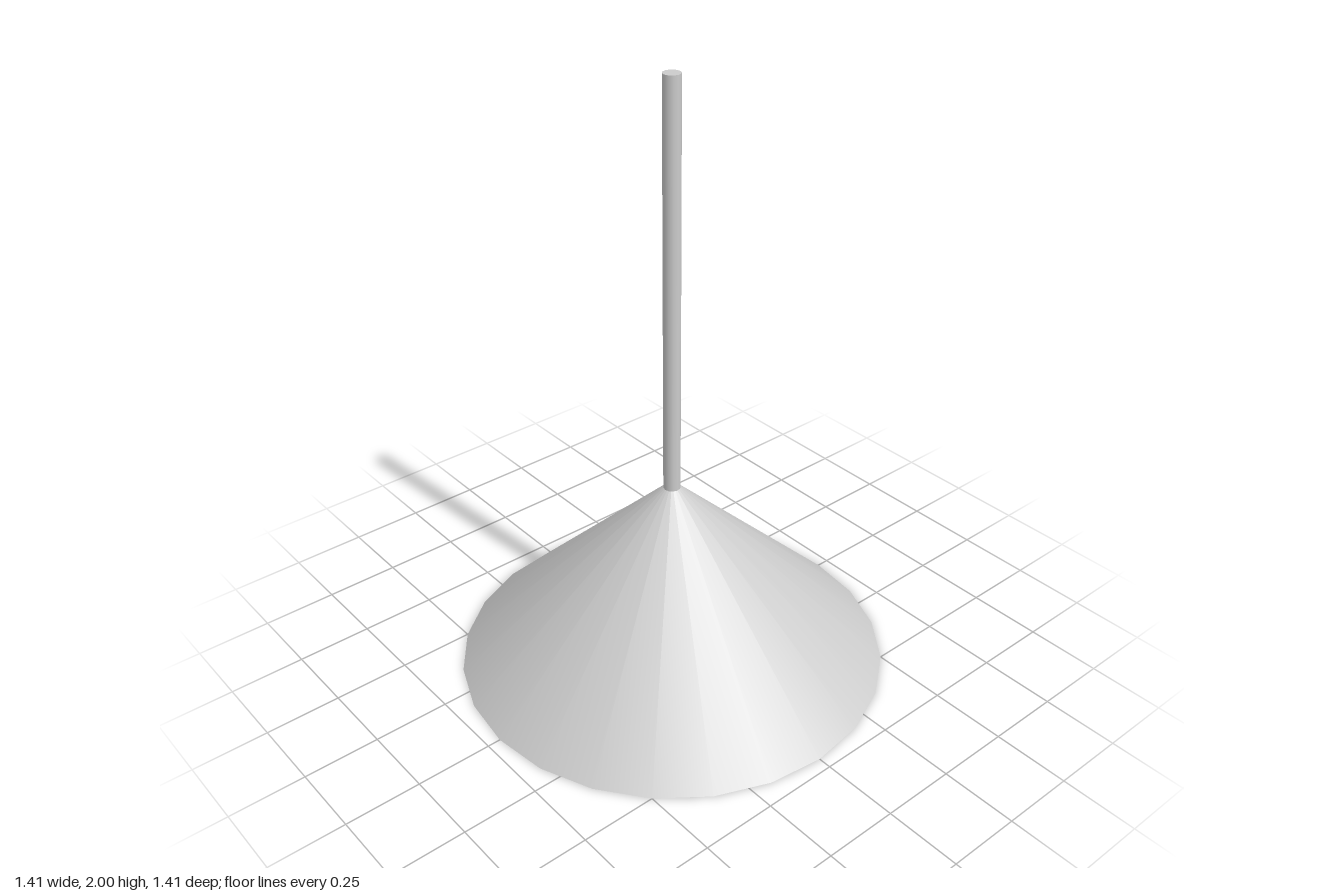
import * as THREE from 'three';
import { toCreasedNormals } from 'three/addons/utils/BufferGeometryUtils.js';

export function createModel() {
  const lamp = new THREE.Group();
  lamp.name = 'pendantLamp';
  const grey = new THREE.MeshStandardMaterial({ color: 0xcccccc });
  const yellow = new THREE.MeshStandardMaterial({ color: 0xdddd55 });

  const add = (name, geometry, material, y = 0) => {
    const mesh = new THREE.Mesh(geometry, material);
    mesh.name = name;
    mesh.position.y = y;
    lamp.add(mesh);
  };

  // Conical shade: inner wall, flat rim and outer wall in one profile
  const profile = [[0.005, 0.62], [0.655, 0], [0.707, 0], [0.005, 0.67]]
    .map(([r, y]) => new THREE.Vector2(r, y));
  add('shade', toCreasedNormals(new THREE.LatheGeometry(profile, 24), 0.6), grey);

  // Hanging rod, rising from the tip of the shade
  add('rod', new THREE.CylinderGeometry(0.028, 0.028, 1.4, 12), grey, 1.3);

  // Short lamp holder hidden under the tip
  add('bulbHolder', new THREE.CylinderGeometry(0.028, 0.028, 0.24, 12), grey, 0.49);

  // Faceted round bulb
  add('bulb', new THREE.IcosahedronGeometry(0.14, 1), yellow, 0.25);

  return lamp;
}
